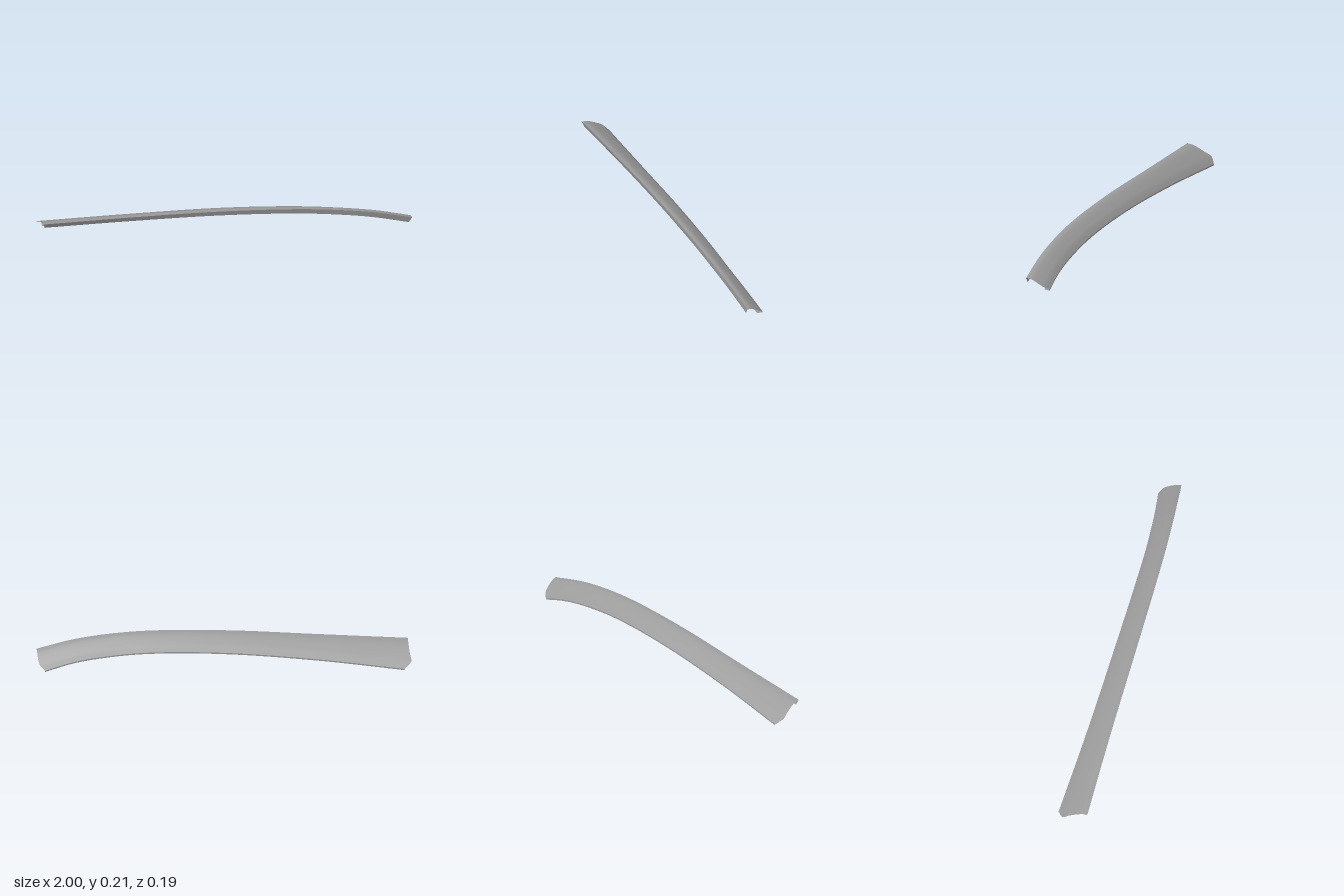
import * as THREE from 'three';

// Values along the length, interpolated smoothly at any x
const KNOTS = [-1, -0.5, 0, 0.4, 0.6, 0.8, 1];
const along = (values, knots = KNOTS) => {
  const curve = new THREE.CubicInterpolant(knots, values, 1, new Float32Array(1));
  return (x) => curve.evaluate(x)[0];
};
const frontY = along([0.205, 0.211, 0.212, 0.193, 0.169, 0.131, 0.072]);
const frontZ = along([0.096, 0.081, 0.072, 0.062, 0.053, 0.038, 0.016]);
const backY = along([0.106, 0.131, 0.14, 0.119, 0.091, 0.049, -0.019]);
const backZ = along([-0.067, -0.051, -0.047, -0.05, -0.057, -0.074, -0.104]);

// Values across the width, t = 0 at the front edge, 1 at the back edge
const ACROSS = [0, 0.2, 0.4, 0.6, 0.8, 1];
const startX = along([-0.97, -0.975, -0.982, -0.99, -1, -0.967], ACROSS);
const endX = along([1, 0.995, 0.99, 0.983, 0.972, 0.945], ACROSS);
const bulge = along([0, 0.012, 0.015, 0.014, 0.011, 0], ACROSS);

const LIP = 0.008;

// Point on the arched top panel
function panelPoint(u, t) {
  const x = THREE.MathUtils.lerp(startX(t), endX(t), u);
  return new THREE.Vector3(
    x,
    THREE.MathUtils.lerp(frontY(x), backY(x) + LIP, t) + bulge(t),
    THREE.MathUtils.lerp(frontZ(x), backZ(x), t),
  );
}

// Flange hangs from the front edge
function flangePoint(u, t) {
  const p = panelPoint(u, 0);
  p.x += t * THREE.MathUtils.lerp(0.005, -0.018, u);
  p.y -= t * 0.029;
  p.z -= t * THREE.MathUtils.lerp(0.012, 0, u);
  return p;
}

// Narrow drop at the back edge
function dropPoint(u, t) {
  const p = panelPoint(u, 1);
  p.y -= t * LIP;
  return p;
}

// Lip turned forward under the panel
function lipPoint(u, t) {
  const p = dropPoint(u, 1);
  p.y += t * 0.003;
  p.z += t * 0.031;
  return p;
}

// Sheet swept along the length
function sheet(name, pointAt, across, material, length = 48) {
  const positions = [];
  const index = [];
  for (let i = 0; i <= length; i++) {
    for (let j = 0; j <= across; j++) {
      positions.push(...pointAt(i / length, j / across).toArray());
      if (i < length && j < across) {
        const a = i * (across + 1) + j;
        const b = a + across + 1;
        index.push(a, b, a + 1, b, b + 1, a + 1);
      }
    }
  }
  const geometry = new THREE.BufferGeometry();
  geometry.setAttribute('position', new THREE.Float32BufferAttribute(positions, 3));
  geometry.setIndex(index);
  geometry.computeVertexNormals();
  const mesh = new THREE.Mesh(geometry, material);
  mesh.name = name;
  return mesh;
}

export function createModel() {
  const material = new THREE.MeshStandardMaterial({ color: 0x9a9a9a, side: THREE.DoubleSide });
  const group = new THREE.Group();
  group.name = 'curvedTrimStrip';
  group.add(
    sheet('topPanel', panelPoint, 15, material),
    // Swept from the bottom up so that its front faces outward
    sheet('frontFlange', (u, t) => flangePoint(u, 1 - t), 1, material),
    sheet('backEdge', dropPoint, 1, material),
    sheet('backLip', lipPoint, 1, material),
  );
  return group;
}
